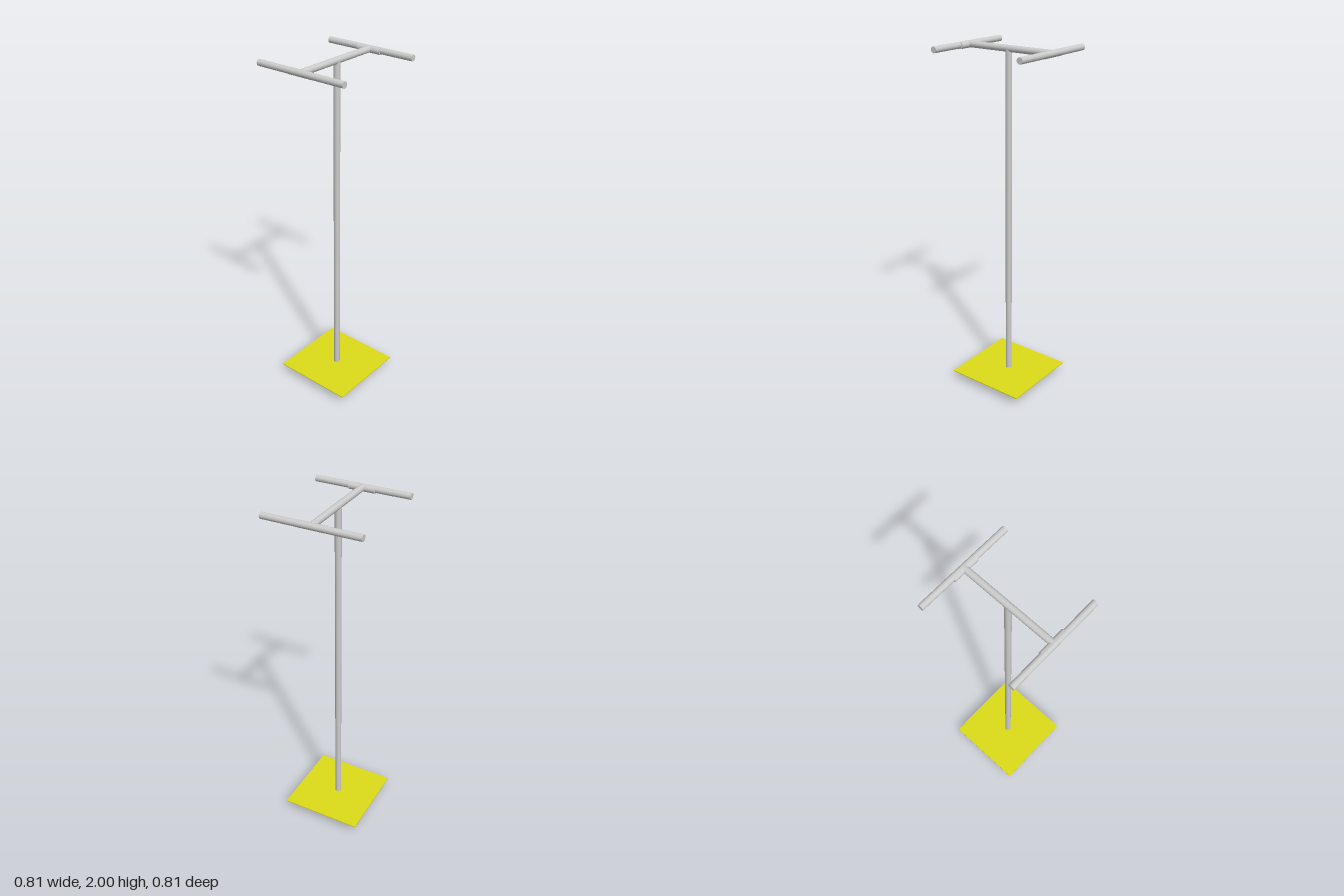
import * as THREE from 'three';

const grey = new THREE.MeshStandardMaterial({ color: 0xcccccc });
const yellow = new THREE.MeshStandardMaterial({ color: 0xdcdc1a });

// Round pipe of a given length along the x, y or z axis
function pipe(name, radius, length, axis, x, y, z) {
  const geometry = new THREE.CylinderGeometry(radius, radius, length, 24);
  if (axis === 'x') geometry.rotateZ(Math.PI / 2);
  if (axis === 'z') geometry.rotateX(Math.PI / 2);
  const mesh = new THREE.Mesh(geometry, grey);
  mesh.name = name;
  mesh.position.set(x, y, z);
  return mesh;
}

export function createModel() {
  const model = new THREE.Group();
  model.name = 'pipeStand';

  const barY = 1.982;
  const barX = 0.276;

  // Upright and the crossbar on top of it
  model.add(pipe('post', 0.018, barY, 'y', 0, barY / 2, 0));
  model.add(pipe('crossbar', 0.018, 2 * barX - 0.006, 'x', 0, barY, 0));

  // End bars, each with a short sleeve where the crossbar joins
  for (const side of [1, -1]) {
    const label = side > 0 ? 'left' : 'right';
    model.add(pipe(label + 'EndBar', 0.0175, 0.552, 'z', side * barX, barY, 0));
    model.add(pipe(label + 'Sleeve', 0.0185, 0.15, 'z', side * (barX - 0.005), barY - 0.002, 0));
  }

  // Thin square base plate, a little above the foot of the post
  const plate = new THREE.Mesh(new THREE.BoxGeometry(0.48, 0.006, 0.48), yellow);
  plate.name = 'basePlate';
  plate.position.y = 0.048;
  model.add(plate);

  // The whole stand is turned diagonally
  model.rotation.y = Math.PI / 4;
  const root = new THREE.Group();
  root.add(model);
  return root;
}
